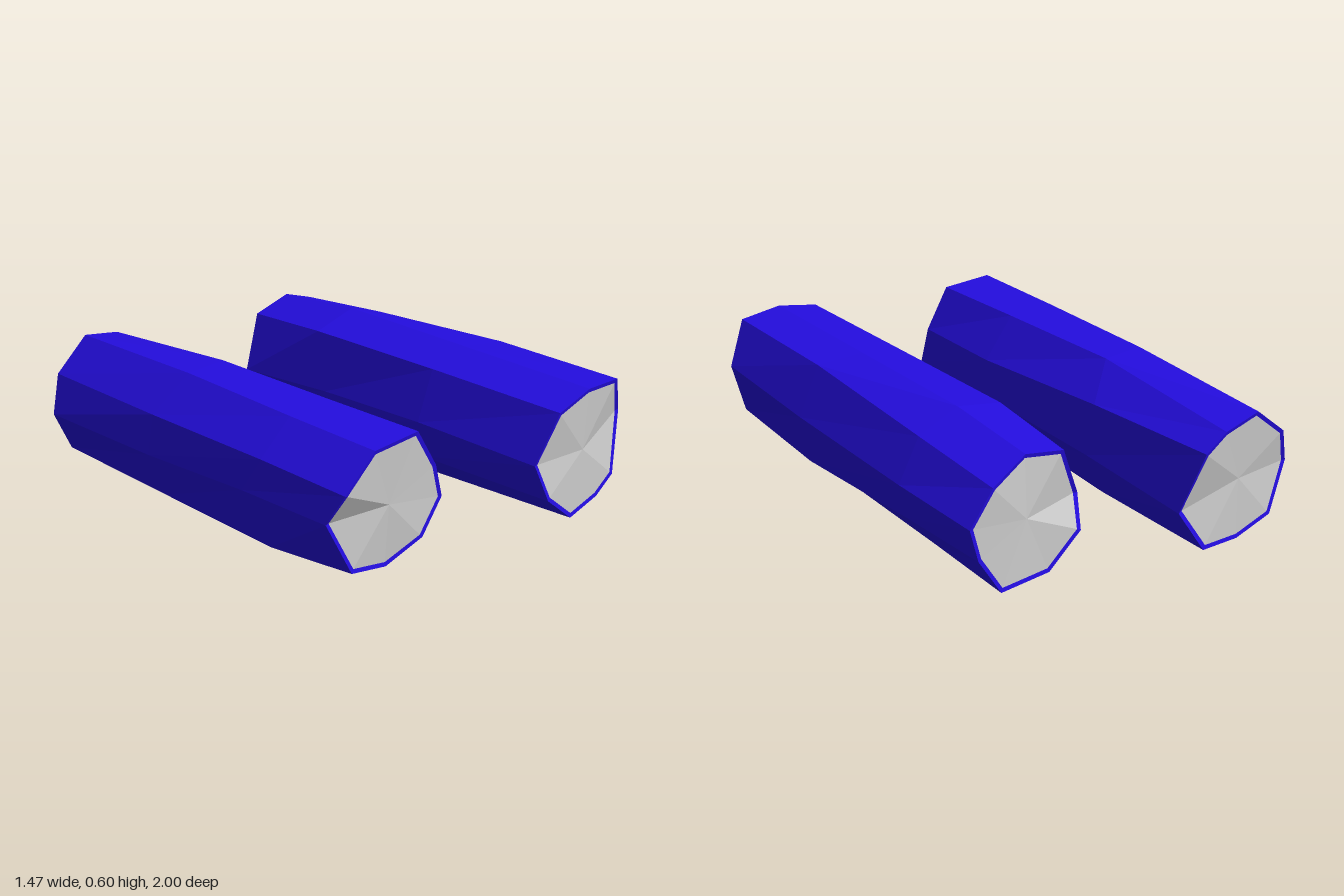
import * as THREE from 'three';

// Cross-sections [x, y, z], clockwise seen from the front, ordered front to back.
const RINGS = [
  [[.145, .35, .97], [.25, .555, 1], [.44, .6, 1], [.63, .585, 1], [.73, .405, .95], [.645, .15, 1], [.54, .085, 1], [.365, .05, 1], [.205, .185, 1]],
  [[.155, .34, .35], [.24, .555, .35], [.44, .6, .35], [.63, .58, .4], [.73, .37, .4], [.69, .15, .4], [.54, .02, .3], [.35, .02, .3], [.19, .17, .35]],
  [[.165, .31, -.2], [.225, .55, -.3], [.44, .6, -.3], [.63, .53, -.3], [.73, .35, -.3], [.70, .195, -.3], [.56, .02, -.3], [.34, .02, -.3], [.18, .15, -.3]],
  [[.145, .28, -.68], [.25, .515, -.715], [.44, .56, -.715], [.62, .49, -.745], [.73, .35, -.745], [.69, .2, -.745], [.58, .02, -.745], [.34, .02, -.745], [.18, .15, -.745]],
];

const centre = (ring) => ring.reduce((s, p) => s.map((v, i) => v + p[i] / ring.length), [0, 0, 0]);

// Shrinks a ring toward its centre and shifts it along z.
function inset(ring, k, dz) {
  const c = centre(ring);
  return ring.map((p) => [c[0] + (p[0] - c[0]) * k, c[1] + (p[1] - c[1]) * k, p[2] + dz]);
}

function flatMesh(name, points, color) {
  const g = new THREE.BufferGeometry();
  g.setAttribute('position', new THREE.Float32BufferAttribute(points.flat(), 3));
  g.computeVertexNormals();
  const m = new THREE.Mesh(g, new THREE.MeshStandardMaterial({ color, flatShading: true }));
  m.name = name;
  return m;
}

// Joins consecutive rings with quads.
function skin(rings) {
  const out = [];
  for (let r = 0; r < rings.length - 1; r++) {
    const a = rings[r], b = rings[r + 1];
    a.forEach((p, i) => {
      const j = (i + 1) % a.length;
      out.push(p, a[j], b[i], a[j], b[j], b[i]);
    });
  }
  return out;
}

// Closes a ring with a fan about its centre.
function fan(ring, front) {
  const c = centre(ring);
  return ring.flatMap((p, i) => {
    const q = ring[(i + 1) % ring.length];
    return front ? [c, q, p] : [c, p, q];
  });
}

function makeLog(name) {
  const log = new THREE.Group();
  log.name = name;
  const front = RINGS[0], back = RINGS[RINGS.length - 1];
  const frontCap = inset(front, .935, -.004), backCap = inset(back, .935, .004);
  // Bark wraps over both ends as a narrow rim
  log.add(flatMesh('bark', skin([frontCap, ...RINGS, backCap]), 0x240de0));
  log.add(flatMesh('frontCutFace', fan(frontCap, true), 0xcccccc));
  log.add(flatMesh('backCutFace', fan(backCap, false), 0xcccccc));
  return log;
}

export function createModel() {
  const model = new THREE.Group();
  model.name = 'logPair';
  const left = makeLog('leftLog');
  // The second log is the same one rolled end over end
  const right = makeLog('rightLog');
  right.rotation.x = Math.PI;
  right.position.set(-.88, .6, 0);
  model.add(left, right);
  return model;
}
